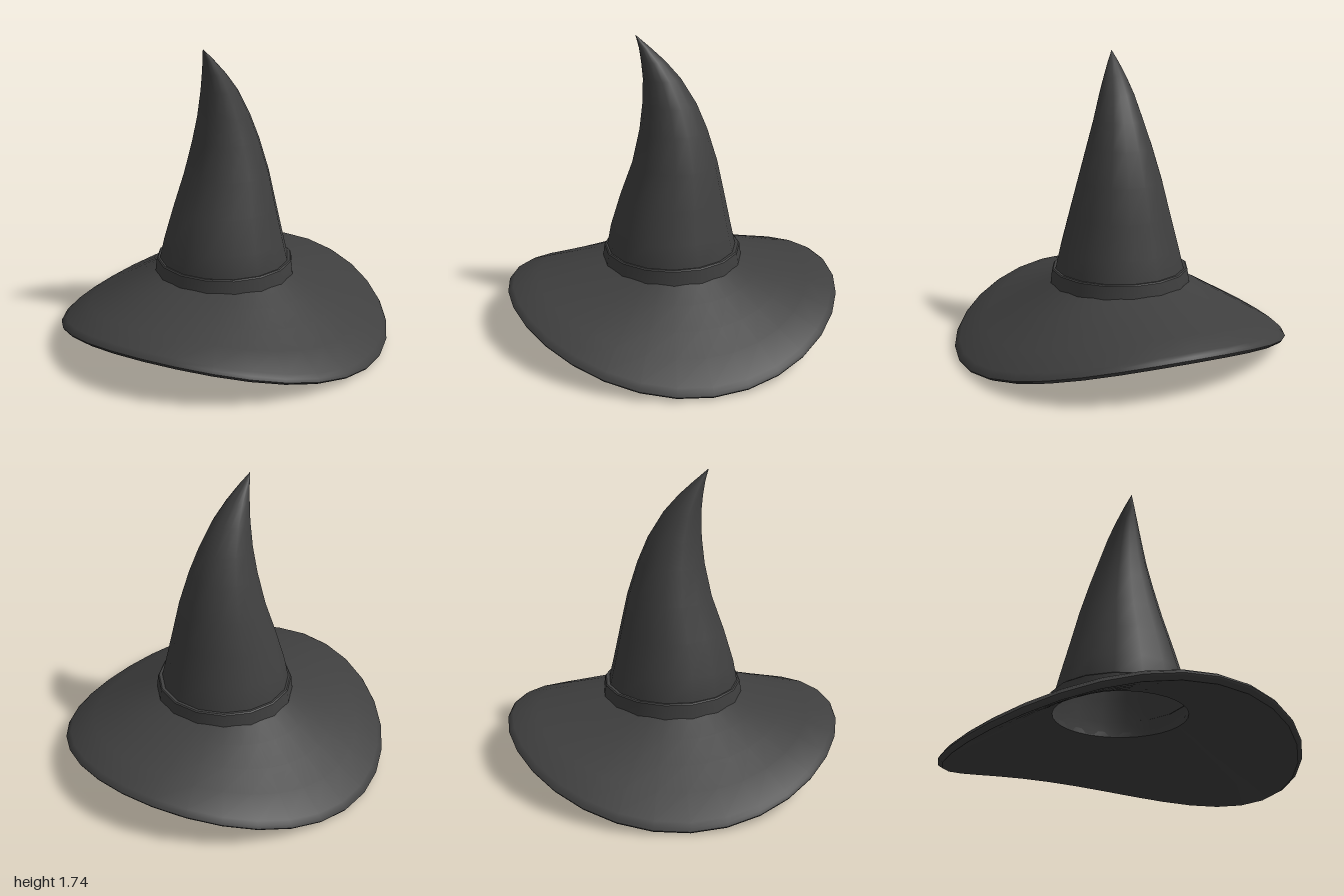
import * as THREE from 'three';
import { toCreasedNormals } from 'three/addons/utils/BufferGeometryUtils.js';

const material = new THREE.MeshStandardMaterial({ color: 0x3f3f3f, side: THREE.DoubleSide });

// Skin a stack of rings; point(ring, angle) returns [x, y, z]
function loft(name, rings, sides, point, crease) {
  const positions = [], index = [];
  rings.forEach((ring, i) => {
    for (let j = 0; j < sides; j++) {
      positions.push(...point(ring, (j / sides) * Math.PI * 2));
      if (i === rings.length - 1) continue;
      const a = i * sides + j, b = i * sides + (j + 1) % sides;
      index.push(a, a + sides, b, b, a + sides, b + sides);
    }
  });
  const geometry = new THREE.BufferGeometry();
  geometry.setAttribute('position', new THREE.Float32BufferAttribute(positions, 3));
  geometry.setIndex(index);
  const mesh = new THREE.Mesh(toCreasedNormals(geometry, crease), material);
  mesh.name = name;
  return mesh;
}

// Brim: straight slope down to a rim that waves twice round the hat
function brim() {
  const rings = []; // [radius, offset from mid surface]
  for (let i = 0; i <= 4; i++) rings.push([0.39 + 0.585 * i / 4, -0.02 - 0.015 * i / 4]);
  rings.push([0.995, -0.012], [1, 0], [0.99, 0.012]);
  for (let i = 4; i >= 0; i--) rings.push([0.39 + 0.58 * i / 4, 0.012 + 0.008 * i / 4]);
  rings.push(rings[0]);
  return loft('brim', rings, 32, ([r, offset], a) => {
    const edge = 0.14 + 0.115 * Math.cos(2 * (a + Math.PI / 16));
    const y = THREE.MathUtils.lerp(0.395, edge, (r - 0.39) / 0.61) + offset;
    return [r * Math.cos(a), y, r * Math.sin(a)];
  }, 0.9);
}

// Band: short tapered collar with a flat top edge
function band() {
  const rings = [[0.422, 0.385], [0.42, 0.41], [0.412, 0.472], [0.405, 0.478], [0.385, 0.475]];
  return loft('band', rings, 16,
    ([r, y], a) => [r * Math.cos(a), y, r * Math.sin(a)], 0.6);
}

// Crown: tall cone bending to one side, [y, left edge, right edge, half depth]
function crown() {
  const keys = [
    [0.38, -0.395, 0.395, 0.395], [0.47, -0.395, 0.385, 0.392], [0.6, -0.37, 0.355, 0.36],
    [0.8, -0.308, 0.312, 0.307], [1.0, -0.235, 0.268, 0.255], [1.2, -0.19, 0.205, 0.197],
    [1.35, -0.172, 0.142, 0.15], [1.5, -0.167, 0.05, 0.105], [1.6, -0.176, -0.038, 0.068],
    [1.68, -0.188, -0.125, 0.034], [1.748, -0.206, -0.204, 0.001],
  ];
  return loft('crown', keys, 16, ([y, left, right, depth], a) => [
    (left + right) / 2 + (right - left) / 2 * Math.cos(a),
    y,
    0.008 * (y - 0.38) / 1.37 + depth * Math.sin(a),
  ], 1.2);
}

export function createModel() {
  const hat = new THREE.Group();
  hat.name = 'pointedHat';
  hat.add(brim(), band(), crown());
  return hat;
}
